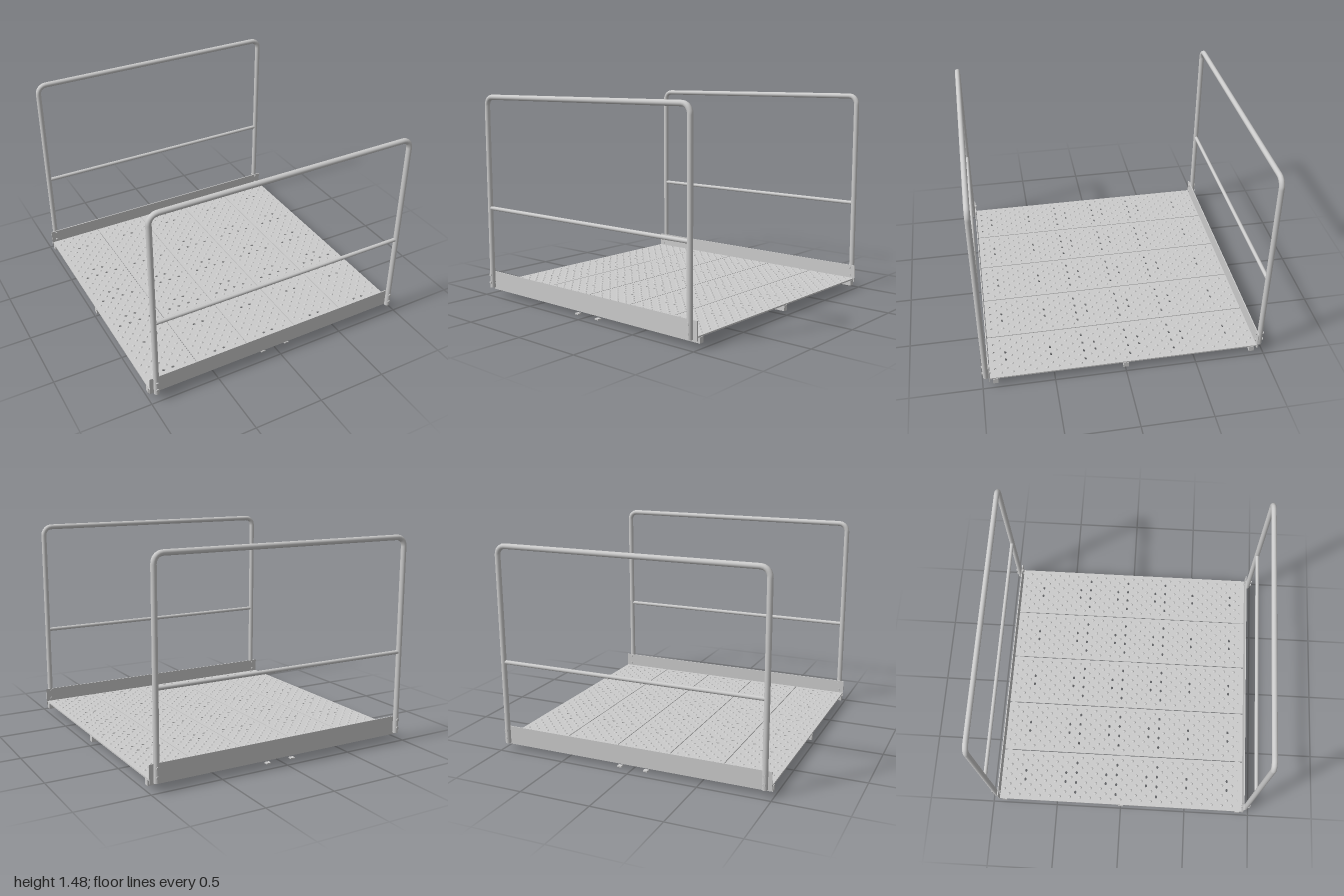
import * as THREE from 'three';
import { mergeGeometries } from 'three/addons/utils/BufferGeometryUtils.js';

const mat = new THREE.MeshStandardMaterial({ color: 0xcccccc });
const thin = new THREE.MeshStandardMaterial({ color: 0xcccccc, side: THREE.DoubleSide });

function add(parent, name, geo, x = 0, y = 0, z = 0, material = mat) {
  const m = new THREE.Mesh(geo, material);
  m.name = name;
  m.position.set(x, y, z);
  parent.add(m);
  return m;
}

const DECK_Y = 0.069, DECK_T = 0.01, HALF_Z = 0.945, PITCH = 0.396, GAP = 0.006;

// One deck plank: perforated plate with staggered raised studs
function plankParts() {
  const four = [-0.117, -0.039, 0.039, 0.117], pair = [-0.035, 0.035];
  const holes = [];
  for (let i = 0; i < 6; i++) pair.forEach(x => holes.push([x, -0.76 + i * 0.317]));
  for (const z of [-0.36, -0.043, 0.274, 0.905]) four.forEach(x => holes.push([x, z]));

  const w = (PITCH - GAP) / 2;
  const shape = new THREE.Shape();
  shape.moveTo(-w, -HALF_Z);
  shape.lineTo(w, -HALF_Z);
  shape.lineTo(w, HALF_Z);
  shape.lineTo(-w, HALF_Z);
  shape.closePath();
  for (const [x, z] of holes) {
    const p = new THREE.Path();
    p.absellipse(x, -z, 0.013, 0.009, 0, Math.PI * 2, true);
    shape.holes.push(p);
  }
  const plate = new THREE.ExtrudeGeometry(shape, { depth: DECK_T, bevelEnabled: false, curveSegments: 4 });
  plate.rotateX(-Math.PI / 2);

  const stud = new THREE.CylinderGeometry(0.006, 0.012, 0.006, 8, 1);
  const studs = [];
  for (let r = 0; r < 47; r++) {
    const z = -0.9165 + r * 0.0396;
    const xs = r % 2 === 0 ? four : [-0.156, -0.078, 0, 0.078, 0.156];
    for (const x of xs) {
      if (holes.some(h => Math.hypot(h[0] - x, h[1] - z) < 0.026)) continue;
      studs.push(stud.clone().translate(x, DECK_T + 0.003, z));
    }
  }
  return { plate, studs: mergeGeometries(studs) };
}

// Bent hoop: two posts joined by a top rail with rounded corners
function hoopGeometry() {
  const X = 0.95, B = 0.06, T = 1.463, R = 0.06;
  const v = (x, y) => new THREE.Vector3(x, y, 0);
  const path = [v(-X, B), v(-X, T - R)];
  for (let i = 1; i <= 8; i++) {
    const a = Math.PI - i * Math.PI / 16;
    path.push(v(-X + R + R * Math.cos(a), T - R + R * Math.sin(a)));
  }
  for (let i = 0; i <= 8; i++) {
    const a = Math.PI / 2 - i * Math.PI / 16;
    path.push(v(X - R + R * Math.cos(a), T - R + R * Math.sin(a)));
  }
  path.push(v(X, B));
  const curve = new THREE.CurvePath();
  for (let i = 1; i < path.length; i++) curve.add(new THREE.LineCurve3(path[i - 1], path[i]));
  return new THREE.TubeGeometry(curve, 240, 0.019, 16, false);
}

// Guard rail for the front side; the back one is the same turned round
function guardRail() {
  const g = new THREE.Group();
  const Z = 0.975;
  add(g, 'railHoop', hoopGeometry(), 0, 0, Z, thin);
  add(g, 'midRail', new THREE.CylinderGeometry(0.014, 0.014, 1.9, 16).rotateZ(Math.PI / 2), 0, 0.655, Z);
  add(g, 'toeBoard', new THREE.BoxGeometry(1.98, 0.127, 0.007), 0, 0.1125, 0.9515);
  for (const s of [-1, 1]) {
    add(g, 'postEndCap', new THREE.CylinderGeometry(0.019, 0.019, 0.004, 16), s * 0.95, 0.061, Z);
    for (const y of [0.098, 0.157]) {
      add(g, 'boltShank', new THREE.CylinderGeometry(0.006, 0.006, 0.056, 10).rotateX(Math.PI / 2), s * 0.95, y, 0.97);
      add(g, 'boltHead', new THREE.CylinderGeometry(0.011, 0.011, 0.007, 6).rotateX(Math.PI / 2), s * 0.95, y, 0.9965);
      add(g, 'boltNut', new THREE.CylinderGeometry(0.011, 0.011, 0.007, 6).rotateX(Math.PI / 2), s * 0.95, y, 0.9445);
    }
  }
  return g;
}

export function createModel() {
  const model = new THREE.Group();
  model.name = 'platform';

  // Deck of five planks
  const { plate, studs } = plankParts();
  for (let i = -2; i <= 2; i++) {
    const plank = new THREE.Group();
    plank.name = 'deckPlank';
    plank.position.set(i * PITCH, DECK_Y, 0);
    add(plank, 'plankPlate', plate);
    add(plank, 'plankStuds', studs);
    model.add(plank);
  }

  // Cross joists under the deck
  for (const z of [-0.91, 0, 0.91]) {
    add(model, 'joist', new THREE.BoxGeometry(1.98, 0.039, 0.036), 0, 0.0495, z);
  }

  // Small fixing plates below the outer joists
  for (const z of [-0.91, 0.91]) {
    for (const x of [-0.097, 0.097]) {
      add(model, 'fixingPlate', new THREE.BoxGeometry(0.032, 0.009, 0.03), x, 0.0045, z);
    }
  }

  // Guard rails front and back
  for (const [name, turn] of [['frontGuardRail', 0], ['backGuardRail', Math.PI]]) {
    const rail = guardRail();
    rail.name = name;
    rail.rotation.y = turn;
    model.add(rail);
  }
  return model;
}
